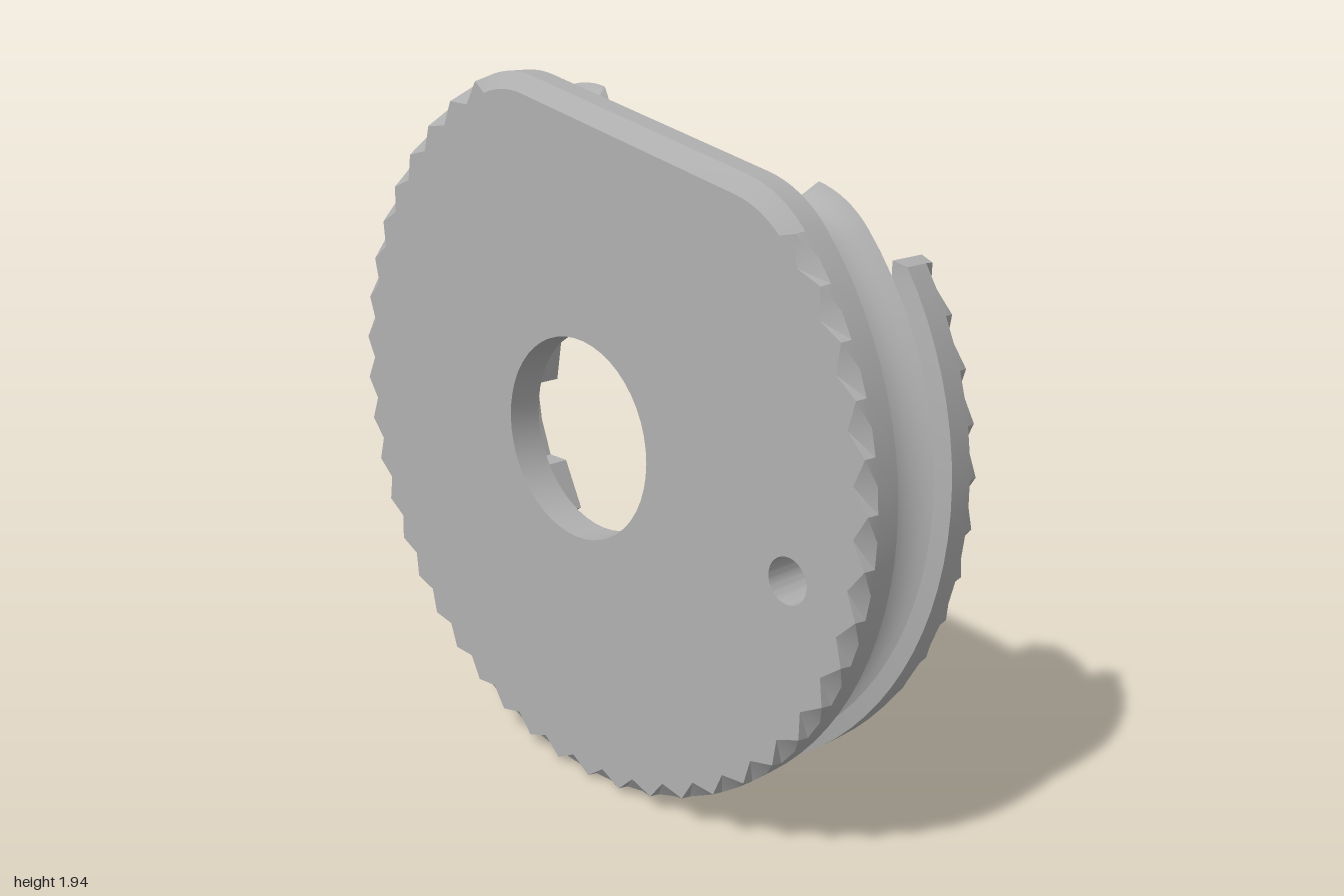
import * as THREE from 'three';
import { toCreasedNormals } from 'three/addons/utils/BufferGeometryUtils.js';

// Work plane: u to the right, v up, centred on the wheel axis; depth runs along the axis.
const TILT = THREE.MathUtils.degToRad(12.8);
const V = (u, v) => new THREE.Vector2(u, v);
const tilted = (t, n) => V(t, n).rotateAround(V(0, 0), TILT);
const pts = (list) => {
  const out = [];
  for (let i = 0; i < list.length; i += 2) out.push(V(list[i], list[i + 1]));
  return out;
};

// Wheel outline with one flattened side, inset by d; teeth gives a zigzag edge.
const SEG = 76, FIL = 8, A0 = THREE.MathUtils.degToRad(126.4), A1 = THREE.MathUtils.degToRad(413.6);
function ring(d, teeth = false) {
  const out = [], r = 0.335 - d;
  const fillet = (side, k) => {
    const a = Math.PI / 2 + side * (A0 - Math.PI / 2) * k / FIL;
    out.push(tilted(-side * 0.395 + r * Math.cos(a), 0.535 + r * Math.sin(a)));
  };
  for (let k = 0; k < FIL; k++) fillet(1, k);
  for (let i = 0; i <= SEG; i++) {
    const a = A0 + (A1 - A0) * i / SEG;
    const R = 1 - d + (teeth && i % 2 === 0 ? d - 0.005 : 0);
    out.push(tilted(R * Math.cos(a), R * Math.sin(a)));
  }
  for (let k = FIL - 1; k >= 0; k--) fillet(-1, k);
  return out;
}

// Skin a stack of equal-length loops: rows = [[depth, points], ...]
function loft(rows, closed = true) {
  const n = rows[0][1].length, pos = [], idx = [];
  for (const [x, p] of rows) for (const q of p) pos.push(q.x, q.y, x);
  for (let j = 0; j < rows.length - 1; j++) {
    for (let i = 0; i < (closed ? n : n - 1); i++) {
      const a = j * n + i, b = j * n + (i + 1) % n;
      idx.push(a, b, b + n, a, b + n, a + n);
    }
  }
  const g = new THREE.BufferGeometry();
  g.setAttribute('position', new THREE.Float32BufferAttribute(pos, 3));
  g.setIndex(idx);
  return toCreasedNormals(g, 0.5);
}

const circle = (c, r, n = 48) => Array.from({ length: n }, (_, i) =>
  V(c.x + r * Math.cos(i / n * 2 * Math.PI), c.y + r * Math.sin(i / n * 2 * Math.PI)));

// Flat face at a depth, optionally facing backwards.
function cap(points, x, holes = [], back = false) {
  const s = new THREE.Shape(points);
  holes.forEach((h) => s.holes.push(new THREE.Path(h)));
  const g = new THREE.ShapeGeometry(s);
  if (back) {
    g.index.array.reverse();
    g.attributes.normal.array.forEach((v, i, arr) => { arr[i] = -v; });
  }
  return g.translate(0, 0, x);
}

// Pocket edge, anticlockwise from the left end of the lip to its right end.
const POCKET = pts([
  -0.476, 0.544, -0.578, 0.517, -0.626, 0.48, -0.642, 0.41, -0.492, -0.249, -0.46, -0.324,
  -0.166, -0.539, -0.13, -0.563, -0.096, -0.566, 0.027, -0.534, 0.059, -0.695, 0.246, -0.657,
  0.214, -0.491, 0.422, -0.448, 0.556, -0.064, 0.562, -0.03, 0.56, 0.016, 0.412, 0.622,
  0.396, 0.67, 0.36, 0.705, 0.305, 0.719, 0.193, 0.7]);

// Stepped inner edge of the front flange, from the left end to the right end.
const FLANGE = pts([
  -0.8, 0.56, -0.765, 0.535, -0.755, 0.49, -0.735, 0.472, -0.663, 0.475, -0.631, 0.32, -0.695, 0.28,
  -0.615, -0.075, -0.6, -0.088, -0.535, -0.09, -0.508, -0.212, -0.567, -0.245, -0.565, -0.305,
  -0.513, -0.416, -0.45, -0.492, -0.425, -0.495, -0.385, -0.462, -0.365, -0.46, -0.22, -0.555,
  -0.257, -0.61, -0.235, -0.642, -0.139, -0.7, -0.032, -0.748, 0.075, -0.764, 0.209, -0.742,
  0.353, -0.662, 0.449, -0.555, 0.503, -0.453, 0.449, -0.415, 0.519, -0.276, 0.595, -0.276,
  0.635, -0.17, 0.648, -0.09, 0.642, -0.025, 0.625, -0.015, 0.556, -0.02, 0.524, 0.163,
  0.594, 0.19, 0.503, 0.544, 0.428, 0.566, 0.396, 0.716, 0.46, 0.76, 0.438, 0.839, 0.46, 0.865]);

export function createModel() {
  const grey = new THREE.MeshStandardMaterial({ color: 0xb0b0b0 });
  grey.name = 'grey';
  const wheel = new THREE.Group();
  wheel.name = 'wheel';
  const add = (name, geo) => {
    const m = new THREE.Mesh(geo, grey);
    m.name = name;
    wheel.add(m);
  };

  const pin = V(-0.765, -0.17), axle = V(0, 0);
  const LEDGE = 0.09, FLOOR = -0.1;
  const groove = (x) => 0.1 * Math.sqrt(Math.max(0, 1 - (x / 0.1) ** 2));

  // Back half: toothed bevel, rim and the rear side of the rope groove
  const backRows = [[-0.2, ring(0.045, true)], [-0.17, ring(0)], [-0.1, ring(0)]];
  for (let k = 1; k <= 6; k++) {
    const a = k / 6 * Math.PI / 2;
    backRows.push([-0.1 * Math.cos(a), ring(0.1 * Math.sin(a))]);
  }
  add('backRim', loft(backRows));
  add('backFace', cap(ring(0.045, true), -0.2, [circle(axle, 0.278), circle(pin, 0.06)], true));

  // Pocket floor and walls
  const inward = [...POCKET].reverse();
  add('pocketFloor', cap(POCKET, FLOOR, [circle(axle, 0.278)]));
  add('pocketWall', loft([[FLOOR, inward], [0, inward]], false));

  // Rounded lip along the flattened side
  const lipRow = (x, n) => [x, [tilted(-0.36, n), tilted(0.36, n)]];
  const lip = [lipRow(FLOOR, 0.637)];
  for (let k = 0; k <= 5; k++) {
    const a = k / 5 * Math.PI / 2;
    lip.push(lipRow(-0.05 + 0.05 * Math.sin(a), 0.687 - 0.05 * Math.cos(a)));
  }
  lip.push(lipRow(0, 0.77));
  add('pocketLip', loft(lip, false));

  // Middle layer: front side of the groove, open at the flattened side
  const midLoop = (d) => [...ring(d), tilted(0.345, 0.765), ...inward, tilted(-0.345, 0.765)];
  const midRows = [0, 0.026, 0.05, 0.07, 0.082, LEDGE].map((x) => [x, midLoop(groove(x))]);
  add('grooveFront', loft(midRows));
  add('ledge', cap(midLoop(groove(LEDGE)), LEDGE, [circle(pin, 0.06)]));

  // Front flange with stepped inner edge
  const flangeLoop = (d, teeth) =>
    [...ring(d, teeth).slice(FIL + 2, FIL + SEG - 1), ...[...FLANGE].reverse()];
  add('flange', loft([
    [LEDGE, flangeLoop(groove(LEDGE))], [0.1, flangeLoop(0)],
    [0.17, flangeLoop(0)], [0.2, flangeLoop(0.045, true)]]));
  add('flangeFace', cap(flangeLoop(0.045, true), 0.2, [circle(pin, 0.12)]));

  // Bores
  const bore = (name, c, r, x0, x1) => {
    const p = circle(c, r).reverse();
    add(name, loft([[x0, p], [x1, p]]));
  };
  bore('axleHole', axle, 0.278, -0.2, FLOOR);
  bore('pinHole', pin, 0.06, -0.2, LEDGE);
  bore('pinCounterbore', pin, 0.12, LEDGE, 0.2);

  wheel.rotation.y = Math.PI / 2;
  wheel.position.y = 1;
  const model = new THREE.Group();
  model.name = 'grooveWheel';
  model.add(wheel);
  return model;
}
